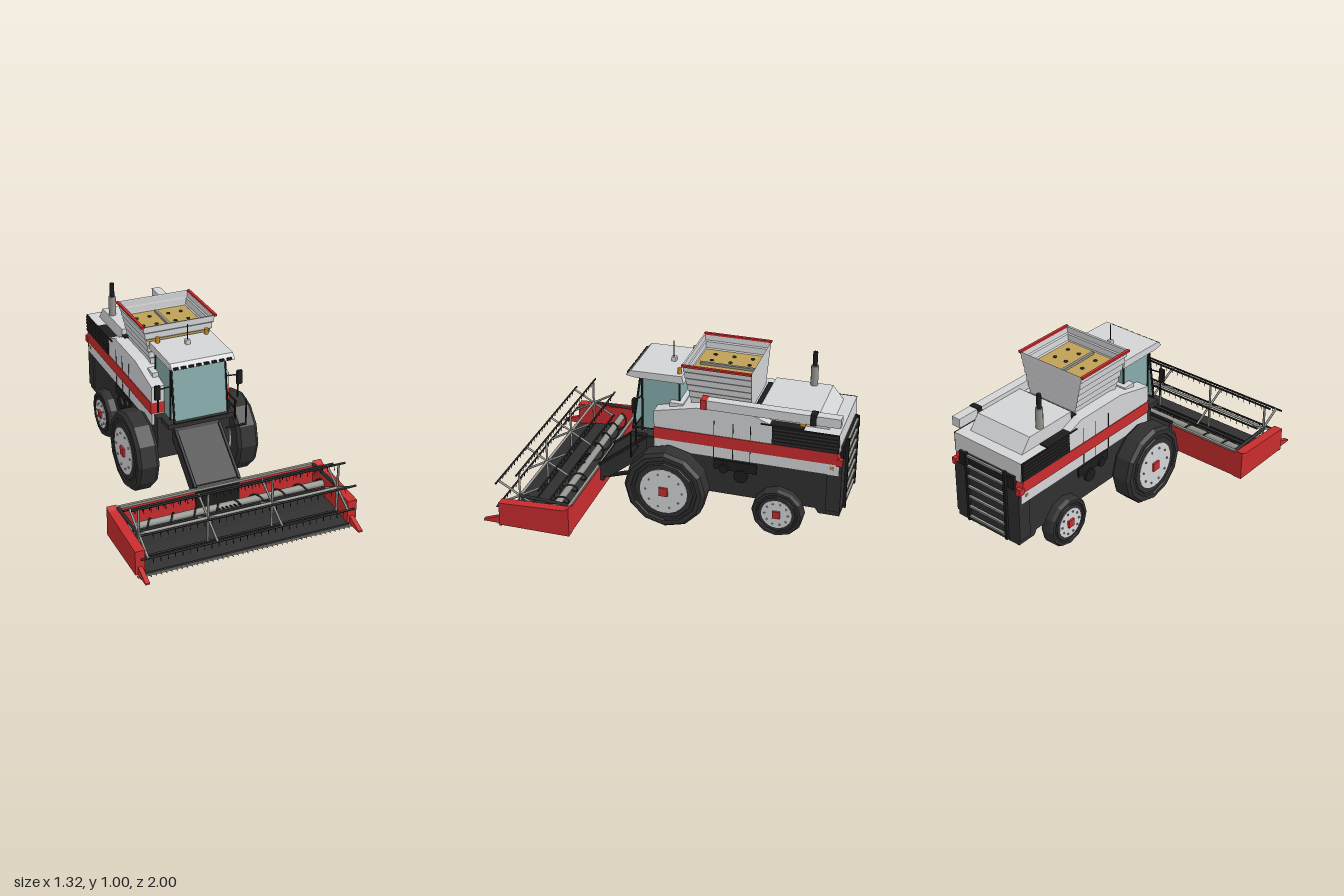
import * as THREE from 'three';

const mat = (name, color, side = THREE.FrontSide) => {
  const m = new THREE.MeshStandardMaterial({ color, side });
  m.name = name;
  return m;
};

export function createModel() {
  const root = new THREE.Group();
  const white = mat('body white', 0xd3d4d6, THREE.DoubleSide);
  const red = mat('trim red', 0xc92c2e);
  const dark = mat('chassis dark', 0x303030);
  const black = mat('black', 0x1c1c1c);
  const glass = mat('window teal', 0x86abab, THREE.DoubleSide);
  const gold = mat('grain gold', 0xbfa056);
  const orange = mat('beacon orange', 0xcc8a2a);
  const grey = mat('steel grey', 0x94958f);

  const add = (name, geo, m, x = 0, y = 0, z = 0) => {
    const mesh = new THREE.Mesh(geo, m);
    mesh.name = name;
    mesh.position.set(x, y, z);
    root.add(mesh);
    return mesh;
  };
  // Box given by its limits on each axis
  const box = (name, m, x0, x1, y0, y1, z0, z1) => add(name,
    new THREE.BoxGeometry(Math.abs(x1 - x0), y1 - y0, Math.abs(z1 - z0)), m, (x0 + x1) / 2, (y0 + y1) / 2, (z0 + z1) / 2);
  // Side profile of [z, y] points extruded across x
  const slab = (name, m, pts, x0, x1) => {
    const g = new THREE.ExtrudeGeometry(new THREE.Shape(pts.map(p => new THREE.Vector2(...p))),
      { depth: Math.abs(x1 - x0), bevelEnabled: false });
    g.translate(0, 0, -Math.abs(x1 - x0) / 2).rotateY(-Math.PI / 2);
    return add(name, g, m, (x0 + x1) / 2);
  };
  // Round bar between two points
  const bar = (name, m, a, b, r = 0.006, sides = 6) => {
    const p = new THREE.Vector3(...a), q = new THREE.Vector3(...b), d = q.clone().sub(p);
    const mesh = add(name, new THREE.CylinderGeometry(r, r, d.length(), sides), m);
    mesh.position.copy(p).add(q).multiplyScalar(0.5);
    mesh.quaternion.setFromUnitVectors(new THREE.Vector3(0, 1, 0), d.normalize());
    return mesh;
  };
  const disc = (name, m, r, w, x, y, z, n) => add(name,
    new THREE.CylinderGeometry(r, r, w, n).rotateZ(Math.PI / 2).toNonIndexed(), m, x, y, z);

  // Chassis
  slab('chassis', dark, [[0.15, 0.24], [0.15, 0.5], [0.08, 0.5], [0.08, 0.44], [-0.98, 0.44], [-0.98, 0.17],
    [-0.86, 0.17], [-0.84, 0.2], [-0.2, 0.2], [0.05, 0.2]], -0.225, 0.225);
  box('rearPanel', dark, -0.235, 0.235, 0.2, 0.52, -0.982, -0.9);
  box('cabPlatform', dark, -0.2, 0.2, 0.47, 0.5, 0, 0.25);

  // Main body: lower panel, stripe and upper panel
  box('lowerPanel', white, -0.24, 0.24, 0.435, 0.505, -0.965, 0.1);
  slab('redStripe', red, [[0.1, 0.505], [0.1, 0.575], [-0.95, 0.575], [-0.975, 0.505]], -0.245, 0.245);
  slab('upperBody', white, [[0.1, 0.575], [0.1, 0.675], [-0.15, 0.73], [-0.48, 0.73], [-0.585, 0.69],
    [-0.96, 0.69], [-0.965, 0.575]], -0.24, 0.24);
  slab('engineHood', white, [[-0.5, 0.6], [-0.5, 0.77], [-0.83, 0.77], [-0.965, 0.6]], -0.185, 0.19);
  box('hoodGap', black, -0.185, 0.185, 0.7, 0.735, -0.5, -0.455);
  box('rearHoodTrim', black, -0.2, 0.2, 0.52, 0.6, -0.98, -0.94);
  for (const s of [-1, 1]) {
    box('ventPanel', black, s * 0.238, s * 0.247, 0.577, 0.69, -0.96, -0.585);
    for (let i = 0; i < 5; i++)
      box('ventSlat', dark, s * 0.24, s * 0.252, 0.588 + i * 0.021, 0.598 + i * 0.021, -0.955, -0.59);
    box('ventTop', black, s * 0.19, s * 0.247, 0.69, 0.696, -0.76, -0.52);
    for (const z of [-0.25, -0.36, -0.46]) {
      box('panelSeam', black, s * 0.24, s * 0.242, 0.577, 0.665, z, z - 0.004);
      box('panelSeam', black, s * 0.24, s * 0.242, 0.437, 0.505, z, z - 0.004);
    }
    box('sideMarker', orange, s * 0.24, s * 0.243, 0.47, 0.485, -0.935, -0.915);
    box('tailLight', red, s * 0.22, s * 0.25, 0.5, 0.54, -0.985, -0.95);
    // Belt drives on the flanks
    box('drivePlate', black, s * 0.22, s * 0.235, 0.36, 0.42, -0.5, -0.25);
    disc('pulley', black, 0.04, 0.02, s * 0.235, 0.335, -0.41, 12);
    disc('pulley', black, 0.028, 0.02, s * 0.235, 0.37, -0.31, 12);
  }

  // Grain tank: stepped flaring walls, floor and red rim
  const rings = [];
  for (let i = 0; i <= 6; i++) {
    const t = i / 6, y = 0.72 + 0.255 * t;
    const ring = k => [0.165 + 0.062 * k, -0.445 - 0.01 * k, -0.095 + 0.035 * k];
    const [x, z0, z1] = ring(t);
    rings.push([[-x, y, z1], [x, y, z1], [x, y, z0], [-x, y, z0]]);
    if (i < 6) {
      const x2 = ring(t + 0.05)[0];
      rings.push([[-x2, y + 0.036, z1], [x2, y + 0.036, z1], [x2, y + 0.036, z0], [-x2, y + 0.036, z0]]);
    }
  }
  const tri = [];
  for (let i = 0; i + 1 < rings.length; i++)
    for (let j = 0; j < 4; j++) {
      const k = (j + 1) % 4, [a, b, c, d] = [rings[i][j], rings[i][k], rings[i + 1][k], rings[i + 1][j]];
      tri.push(...a, ...b, ...c, ...a, ...c, ...d);
    }
  const tank = new THREE.BufferGeometry();
  tank.setAttribute('position', new THREE.Float32BufferAttribute(tri, 3));
  tank.computeVertexNormals();
  add('grainTank', tank, white);
  box('grainFloor', gold, -0.197, 0.197, 0.87, 0.885, -0.445, -0.075);
  box('tankDivider', grey, -0.008, 0.008, 0.885, 0.9, -0.42, -0.1);
  for (const s of [-1, 1]) {
    box('tankRim', red, s * 0.216, s * 0.233, 0.965, 0.977, -0.457, -0.058);
    for (const x of [0.06, 0.14]) for (const z of [-0.15, -0.26, -0.37])
      add('floorHole', new THREE.CylinderGeometry(0.012, 0.012, 0.004, 8), dark, s * x, 0.887, z);
  }

  // Unloading tube folded along the left side
  box('unloadingTube', white, 0.195, 0.25, 0.735, 0.79, -0.965, -0.2);
  box('tubeEnd', red, 0.193, 0.252, 0.733, 0.792, -0.21, -0.175);
  box('tubeCollar', black, 0.192, 0.253, 0.73, 0.794, -0.83, -0.795);
  box('tubeLamp', orange, 0.2, 0.25, 0.715, 0.735, -0.77, -0.74);

  // Exhaust
  add('exhaustBase', new THREE.CylinderGeometry(0.022, 0.022, 0.12, 10), grey, -0.16, 0.83, -0.725);
  add('exhaustPipe', new THREE.CylinderGeometry(0.014, 0.014, 0.1, 10), black, -0.16, 0.925, -0.725);

  // Cab: side windows, leaning windscreen, pillars and roof
  box('cabWindows', glass, -0.163, 0.163, 0.5, 0.84, -0.03, 0.195);
  slab('windscreen', glass, [[0.246, 0.5], [0.252, 0.5], [0.204, 0.84], [0.198, 0.84]], -0.16, 0.16);
  bar('windscreenSill', black, [-0.165, 0.507, 0.25], [0.165, 0.507, 0.25], 0.009);
  box('cabBack', white, -0.2, 0.2, 0.5, 0.72, -0.06, -0.02);
  for (const s of [-1, 1]) {
    bar('frontPillar', black, [s * 0.164, 0.5, 0.251], [s * 0.164, 0.845, 0.201]);
    for (const z of [0.193, -0.027]) bar('sidePillar', black, [s * 0.163, 0.5, z], [s * 0.163, 0.845, z]);
    box('cabSidePanel', white, s * 0.165, s * 0.2, 0.5, 0.72, -0.06, 0.02);
    bar('mirrorArm', black, [s * 0.163, 0.715, 0.2], [s * 0.25, 0.715, 0.215], 0.004);
    box('mirror', black, s * 0.235, s * 0.267, 0.655, 0.74, 0.205, 0.22);
    bar('mirrorStay', black, [s * 0.245, 0.57, 0.205], [s * 0.245, 0.66, 0.21], 0.005);
    add('beacon', new THREE.CylinderGeometry(0.012, 0.013, 0.035, 10), orange, s * 0.15, 0.9, -0.025);
  }
  slab('cabRoof', white, [[0.28, 0.85], [0.25, 0.88], [-0.05, 0.885], [-0.06, 0.84], [0.22, 0.84], [0.26, 0.845]], -0.19, 0.19);
  box('lightStrip', black, -0.165, 0.165, 0.835, 0.847, 0.2, 0.25);
  for (let i = 0; i < 8; i++) box('workLight', black, -0.18 + i * 0.046, -0.15 + i * 0.046, 0.848, 0.862, 0.25, 0.279);
  box('antennaBase', white, -0.013, 0.013, 0.88, 0.91, 0.04, 0.066);
  bar('antenna', black, [0, 0.9, 0.055], [0, 1.005, 0.055], 0.003);

  // Access platform rails
  bar('platformRail', black, [0.23, 0.55, 0.22], [0.23, 0.55, -0.005]);
  bar('platformRail', black, [0.23, 0.5, 0.21], [0.23, 0.5, -0.005]);
  for (const z of [0.21, -0.005]) bar('railPost', black, [0.23, 0.43, z], [0.23, 0.55, z]);
  bar('stepRail', black, [0.17, 0.39, 0.22], [0.295, 0.39, 0.22]);
  bar('stepRail', black, [0.295, 0.385, 0.22], [0.295, 0.55, 0.22], 0.005);

  // Wheels and axles
  const wheel = (s, name, r, hub, x0, x1, z, cap) => {
    const y = r + 0.005, prof = [[hub, x0], [r * 0.93, x0], [r, x0 + 0.02], [r, x1 - 0.02], [r * 0.93, x1], [r * 0.82, x1],
      [r * 0.8, x1 - 0.008], [r * 0.74, x1 - 0.008], [r * 0.72, x1], [hub, x1]];
    const g = new THREE.LatheGeometry(prof.map(p => new THREE.Vector2(p[0], p[1])), 12)
      .rotateZ(-Math.PI / 2).toNonIndexed();
    g.computeVertexNormals();
    add(name + 'Tyre', g, dark, 0, y, z).rotation.y = s > 0 ? 0 : Math.PI;
    disc(name + 'Rim', white, hub * 1.04, x1 - x0, s * ((x0 + x1) / 2 + 0.002), y, z, 24);
    box(name + 'HubCap', red, s * (x1 - 0.01), s * (x1 + 0.014), y - cap, y + cap, z - cap, z + cap);
    for (let i = 0; i < 10; i++) {
      const a = i * Math.PI / 5;
      disc('wheelBolt', grey, 0.006, 0.008, s * (x1 + 0.004), y + Math.sin(a) * hub * 0.8, z + Math.cos(a) * hub * 0.8, 6);
    }
  };
  for (const s of [-1, 1]) {
    wheel(s, 'front', 0.24, 0.135, 0.245, 0.378, 0, 0.026);
    wheel(s, 'rear', 0.15, 0.085, 0.2, 0.285, -0.635, 0.022);
  }
  bar('frontAxle', black, [-0.27, 0.245, 0], [0.27, 0.245, 0], 0.05, 8);
  box('rearAxle', black, -0.22, 0.22, 0.13, 0.175, -0.66, -0.61);
  box('axleMount', black, -0.06, 0.06, 0.17, 0.22, -0.68, -0.59);

  // Rear ladder grille and straw spreaders
  for (const x of [-0.145, 0.135]) box('ladderPost', black, x - 0.008, x + 0.008, 0.18, 0.62, -0.998, -0.98);
  for (let i = 0; i < 7; i++) box('ladderRung', grey, -0.14, 0.13, 0.2 + i * 0.066, 0.212 + i * 0.066, -0.995, -0.982);
  for (const x of [-0.1, 0.1]) for (let i = 0; i < 3; i++)
    add('spreaderBlade', new THREE.BoxGeometry(0.13, 0.008, 0.016), black, x, 0.16, -0.91).rotation.y = i * Math.PI / 3;

  // Feeder house
  slab('feederHouse', dark, [[0.13, 0.36], [0.13, 0.46], [0.2, 0.42], [0.48, 0.2], [0.48, 0.13], [0.42, 0.13]], -0.135, 0.14);
  for (const s of [-1, 1]) bar('feederRib', black, [s * 0.135, 0.425, 0.2], [s * 0.135, 0.205, 0.48], 0.01);
  bar('feederLift', black, [0.1, 0.21, 0.15], [0.1, 0.12, 0.43], 0.014);

  // Header shell
  box('headerBack', red, -0.66, 0.66, 0.03, 0.19, 0.47, 0.482);
  box('headerTopRail', grey, -0.61, 0.61, 0.185, 0.2, 0.474, 0.49);
  box('feederMouth', black, -0.135, 0.135, 0.06, 0.18, 0.482, 0.487);
  box('feederCollar', dark, -0.14, 0.14, 0.1, 0.21, 0.45, 0.472);
  slab('headerFloor', dark, [[0.475, 0.025], [0.9, 0.02], [0.9, 0.032], [0.7, 0.055], [0.475, 0.04]], -0.615, 0.615);
  for (const s of [-1, 1]) {
    slab('headerEnd', red, [[0.47, 0.025], [0.47, 0.205], [0.5, 0.19], [0.895, 0.17], [0.895, 0.025]], s * 0.605, s * 0.66);
    slab('cropDivider', red, [[0.89, 0.025], [0.89, 0.075], [1, 0.035], [1, 0.025]], s * 0.62, s * 0.645);
    box('skid', black, s * 0.2, s * 0.38, 0.012, 0.025, 0.55, 0.8);
    bar('reelArm', dark, [s * 0.6, 0.195, 0.49], [s * 0.6, 0.205, 0.785], 0.01);
  }
  // Cutter bar
  box('cutterBar', grey, -0.65, 0.645, 0.008, 0.018, 0.89, 0.905);
  for (let i = 0; i < 44; i++) {
    const tooth = add('cutterTooth', new THREE.ConeGeometry(0.007, 0.03, 4).rotateX(Math.PI / 2), grey, -0.64 + i * 0.0297, 0.013, 0.915);
    tooth.scale.y = 0.6;
  }

  // Cross auger with opposed spiral flights
  bar('augerTube', grey, [-0.605, 0.127, 0.6], [0.605, 0.127, 0.6], 0.02, 12);
  for (const s of [-1, 1]) {
    const pts = [];
    for (let i = 0; i <= 64; i++) {
      const a = i / 64 * Math.PI * 8;
      pts.push(new THREE.Vector3(s * (0.05 + 0.55 * i / 64), 0.11 + Math.cos(a) * 0.04, 0.6 + Math.sin(a) * 0.04));
    }
    add('augerFlight', new THREE.TubeGeometry(new THREE.CatmullRomCurve3(pts), 130, 0.005, 5), dark);
  }
  for (let i = 0; i < 6; i++) bar('augerFinger', black, [-0.06 + i * 0.025, 0.127, 0.6], [-0.06 + i * 0.025, 0.14, 0.645], 0.004);

  // Reel: six tine bars carried on four spiders
  bar('reelShaft', grey, [-0.605, 0.203, 0.785], [0.605, 0.203, 0.785], 0.008, 8);
  for (let k = 0; k < 6; k++) {
    const a = Math.PI / 2 + k * Math.PI / 3, y = 0.203 + 0.15 * Math.sin(a), z = 0.785 + 0.15 * Math.cos(a);
    bar('tineBar', black, [-0.635, y, z], [0.635, y, z], 0.006);
    for (const x of [-0.595, -0.195, 0.19, 0.595]) bar('reelSpoke', grey, [x, 0.203, 0.785], [x, y, z], 0.007);
    for (let i = 0; i < 28; i++) {
      const x = -0.567 + i * 0.042;
      bar('reelTine', black, [x, y, z], [x, y - 0.03, z + 0.006], 0.0022, 4);
    }
  }
  return root;
}
